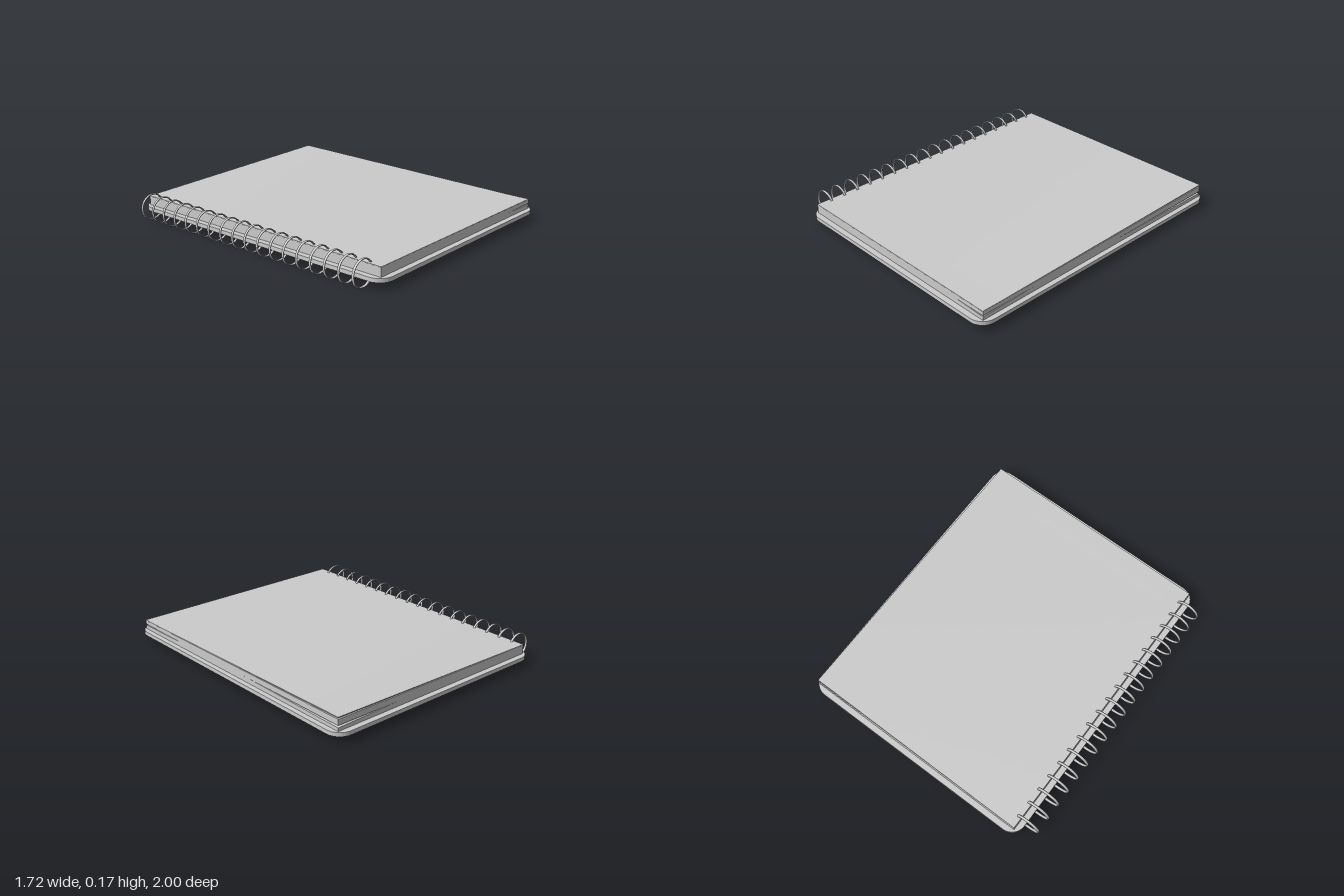
import * as THREE from 'three';

const X0 = -0.73, X1 = 0.825, Z = 0.962;
const material = new THREE.MeshStandardMaterial({ color: 0xcccccc, flatShading: true });
const clamp = (v) => Math.min(1, Math.max(0, v));

// Slab of paper whose underside and top follow height rules of x and z
function paper(name, bottom, top) {
  const geo = new THREE.BoxGeometry(X1 - X0, 1, 2 * Z, 24, 1, 24);
  geo.translate((X0 + X1) / 2, 0, 0);
  const p = geo.attributes.position;
  for (let i = 0; i < p.count; i++) {
    const rule = p.getY(i) > 0 ? top : bottom;
    p.setY(i, rule(p.getX(i), p.getZ(i)));
  }
  geo.computeVertexNormals();
  const mesh = new THREE.Mesh(geo, material);
  mesh.name = name;
  return mesh;
}

// Rounded backing board lying flat
function backCover() {
  const x0 = -0.768, x1 = 0.858, z = 1, r = 0.095;
  const s = new THREE.Shape();
  s.moveTo(x0 + r, -z);
  s.lineTo(x1 - r, -z);
  s.absarc(x1 - r, -z + r, r, -Math.PI / 2, 0);
  s.lineTo(x1, z - r);
  s.absarc(x1 - r, z - r, r, 0, Math.PI / 2);
  s.lineTo(x0 + r, z);
  s.absarc(x0 + r, z - r, r, Math.PI / 2, Math.PI);
  s.lineTo(x0, -z + r);
  s.absarc(x0 + r, -z + r, r, Math.PI, Math.PI * 1.5);
  const geo = new THREE.ExtrudeGeometry(s, { depth: 0.026, bevelEnabled: false, curveSegments: 4 });
  geo.rotateX(-Math.PI / 2);
  geo.translate(0, 0.046, 0);
  const mesh = new THREE.Mesh(geo, material);
  mesh.name = 'backCover';
  return mesh;
}

// Row of wire rings along the left edge
function binding() {
  const group = new THREE.Group();
  group.name = 'spiralBinding';
  const wire = new THREE.MeshStandardMaterial({ color: 0xcccccc });
  const geo = new THREE.TorusGeometry(0.083, 0.0045, 8, 40);
  geo.scale(1, 1, 2);
  for (let i = 0; i < 18; i++) {
    const ring = new THREE.Mesh(geo, wire);
    ring.name = 'ring' + (i + 1);
    ring.position.set(-0.775, 0.0875, -0.885 + i * 0.1032);
    group.add(ring);
  }
  return group;
}

export function createModel() {
  const model = new THREE.Group();
  model.name = 'notebook';

  // Parting between the page stacks, open at the two free corners
  const lowerTop = (x, z) => {
    const back = clamp((x - 0.4) / 0.425) * clamp((-0.15 - z) / 0.8);
    const front = clamp((x - 0.59) / 0.235) * clamp((z - 0.56) / 0.4);
    return 0.104 - 0.01 * back - 0.008 * front;
  };
  // Upper pages lift gently towards the back free corner
  const lift = (x, z) => clamp((x - X0) / (X1 - X0)) * clamp((0.8 - z) / 1.76);
  const upperBottom = (x, z) => 0.104 + 0.004 * clamp((x - 0.4) / 0.425) * clamp((-0.15 - z) / 0.8);
  const upperTop = (x, z) => 0.13 + 0.016 * lift(x, z);
  const sheetBottom = (x, z) => 0.1305 + 0.023 * lift(x, z);
  const sheetTop = (x, z) => 0.134 + 0.025 * lift(x, z);

  model.add(
    backCover(),
    paper('lowerPages', () => 0.072, lowerTop),
    paper('upperPages', upperBottom, upperTop),
    paper('topSheet', sheetBottom, sheetTop),
    binding()
  );
  return model;
}
